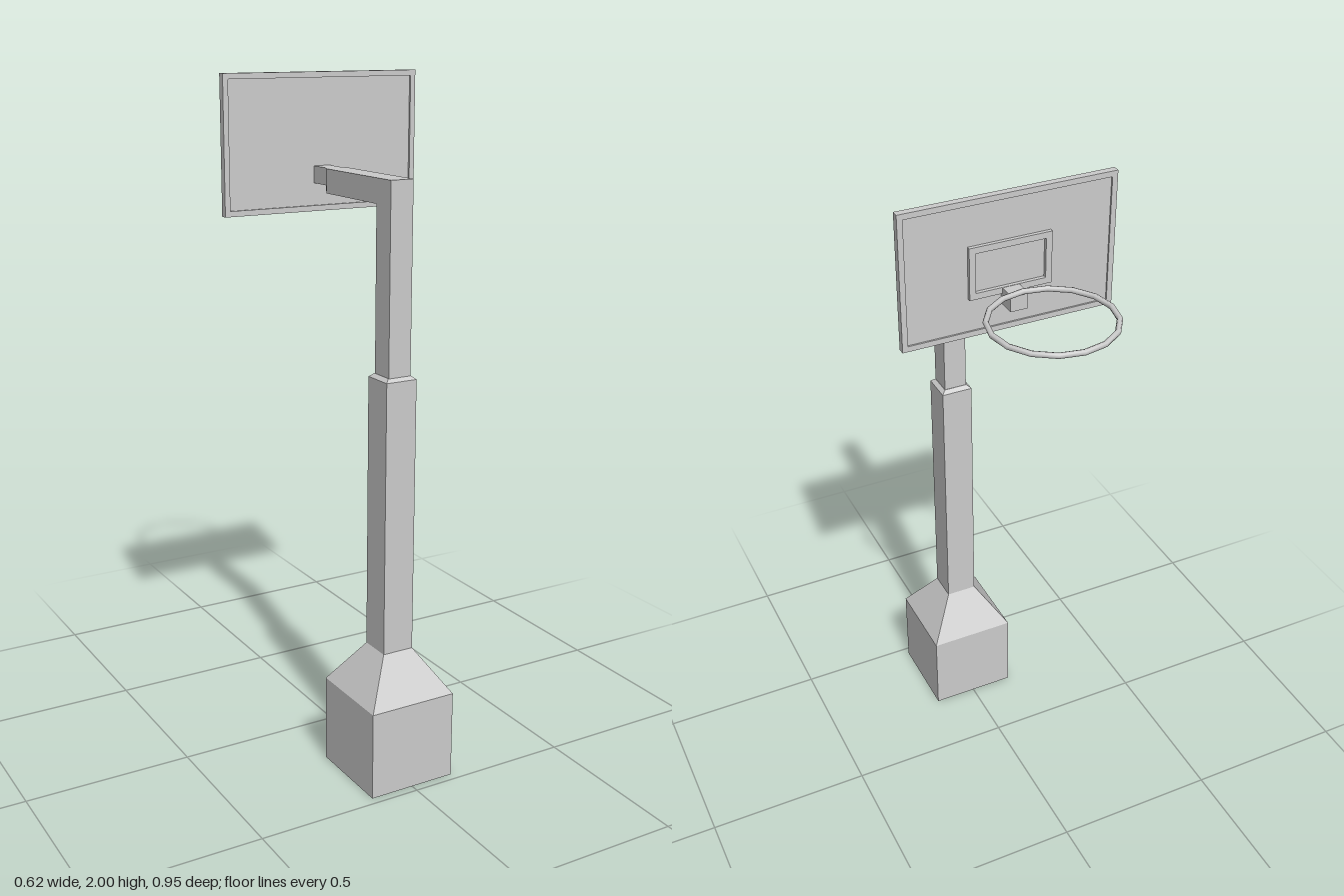
import * as THREE from 'three';

const material = new THREE.MeshStandardMaterial({ color: 0xcccccc, flatShading: true });
const smoothMaterial = new THREE.MeshStandardMaterial({ color: 0xcccccc });

// Square column from [halfWidth, y] pairs
function squareColumn(profile) {
  const points = profile.map(([half, y]) => new THREE.Vector2(half * Math.SQRT2, y));
  return new THREE.LatheGeometry(points, 4, Math.PI / 4);
}

// Rectangular frame in the xy plane, from z0 to z1
function rectFrame(halfWidth, y0, y1, rim, z0, z1) {
  const rect = (Type, w, a, b) => {
    const path = new Type();
    path.moveTo(-w, a).lineTo(w, a).lineTo(w, b).lineTo(-w, b).closePath();
    return path;
  };
  const shape = rect(THREE.Shape, halfWidth, y0, y1);
  shape.holes.push(rect(THREE.Path, halfWidth - rim, y0 + rim, y1 - rim));
  const geometry = new THREE.ExtrudeGeometry(shape, { depth: z1 - z0, bevelEnabled: false });
  return geometry.translate(0, 0, z0);
}

function box(x0, x1, y0, y1, z0, z1) {
  return new THREE.BoxGeometry(x1 - x0, y1 - y0, z1 - z0)
    .translate((x0 + x1) / 2, (y0 + y1) / 2, (z0 + z1) / 2);
}

export function createModel() {
  const group = new THREE.Group();
  const add = (name, geometry, mat = material) => {
    const mesh = new THREE.Mesh(geometry, mat);
    mesh.name = name;
    group.add(mesh);
    return mesh;
  };

  // Weighted base tapering into the lower post
  add('baseAndLowerPost', squareColumn([
    [0, 0], [0.135, 0], [0.135, 0.262], [0.048, 0.392],
    [0.048, 1.193], [0.036, 1.203], [0, 1.203],
  ])).position.z = 0.34;

  // Upper post and arm, a bent square bar extruded sideways
  const bend = new THREE.Shape();
  bend.moveTo(0.305, 1.19).lineTo(0.377, 1.19).lineTo(0.377, 1.737)
    .lineTo(0.033, 1.737).lineTo(0.033, 1.668).lineTo(0.305, 1.668).closePath();
  const bar = new THREE.ExtrudeGeometry(bend, { depth: 0.07, bevelEnabled: false });
  add('upperPostAndArm', bar.rotateY(-Math.PI / 2).translate(0.035, 0, 0));

  // Tapered neck, its board end narrowed
  const neck = box(-0.035, 0.035, 1.668, 1.737, 0.014, 0.033);
  const p = neck.attributes.position;
  for (let i = 0; i < p.count; i++) {
    if (p.getZ(i) < 0.02) {
      p.setX(i, Math.sign(p.getX(i)) * 0.025);
      if (p.getY(i) < 1.7) p.setY(i, 1.688);
    }
  }
  add('armNeck', neck);
  add('rimSupport', box(-0.025, 0.025, 1.688, 1.737, -0.125, 0.014));

  // Backboard: thin panel inside a raised border, with a target frame
  add('backboardPanel', box(-0.3, 0.3, 1.62, 1.99, -0.066, -0.056));
  add('backboardBorder', rectFrame(0.312, 1.608, 2, 0.016, -0.071, -0.05));
  add('targetFrame', rectFrame(0.12, 1.72, 1.87, 0.018, -0.077, -0.064));

  // Hoop
  const hoop = add('hoop', new THREE.TorusGeometry(0.17, 0.008, 8, 16).rotateX(Math.PI / 2), smoothMaterial);
  hoop.position.set(-0.009, 1.743, -0.298);

  return group;
}
